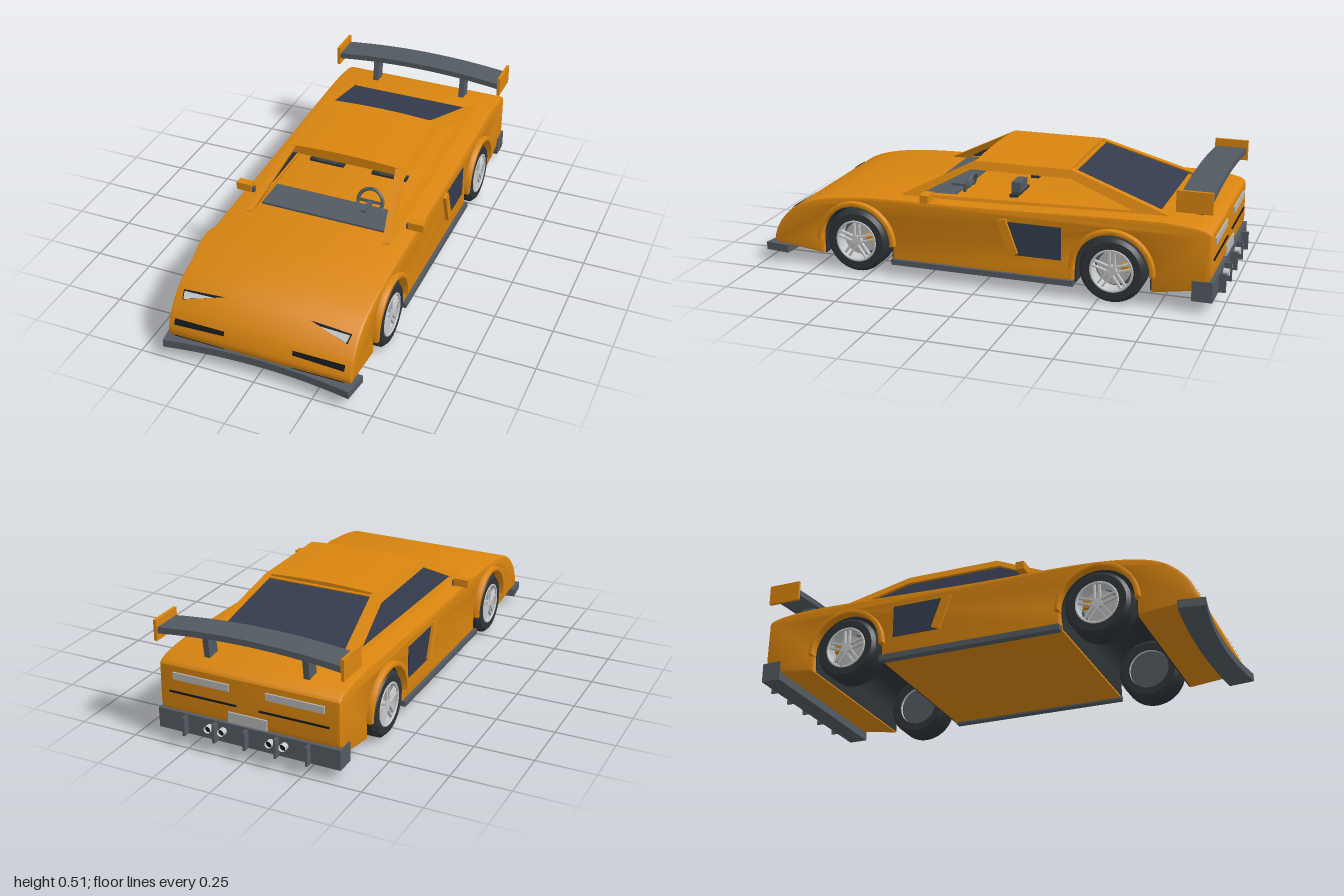
import * as THREE from 'three';
import { toCreasedNormals } from 'three/addons/utils/BufferGeometryUtils.js';

const mat = (name, color, side = THREE.FrontSide) => {
  const m = new THREE.MeshStandardMaterial({ color, side });
  m.name = name;
  return m;
};

export function createModel() {
  const car = new THREE.Group();
  car.name = 'sportsCar';
  const paint = mat('orangePaint', 0xd9850f);
  const trim = mat('greyTrim', 0x525a61);
  const rubber = mat('tyreRubber', 0x2f3437);
  const glass = mat('navyGlass', 0x333b4d, THREE.DoubleSide);
  const black = mat('blackVent', 0x15171a, THREE.DoubleSide);
  const silver = mat('silver', 0xc4c6c8, THREE.DoubleSide);
  const lamp = mat('lampGrey', 0xb4b4b4, THREE.DoubleSide);

  const add = (name, geo, m, parent = car) => {
    const mesh = new THREE.Mesh(geo, m);
    mesh.name = name;
    parent.add(mesh);
    return mesh;
  };
  const box = (name, size, pos, m, parent) => {
    const mesh = add(name, new THREE.BoxGeometry(...size), m, parent);
    mesh.position.set(...pos);
    return mesh;
  };
  const poly = (pts) => new THREE.Shape(pts.map((p) => new THREE.Vector2(...p)));
  // Extrudes a (z, y) side outline across x from x0 to x1
  const across = (shape, x0, x1, bevel = 0) => {
    const g = new THREE.ExtrudeGeometry(shape, {
      depth: x1 - x0 - 2 * bevel, curveSegments: 48, bevelEnabled: bevel > 0,
      bevelThickness: bevel, bevelSize: bevel, bevelOffset: -bevel, bevelSegments: 2,
    });
    g.rotateY(-Math.PI / 2).translate(x1 - bevel, 0, 0);
    return toCreasedNormals(g, 0.5);
  };
  const acrossSide = (shape, s, inner, outer, bevel) =>
    across(shape, s > 0 ? inner : -outer, s > 0 ? outer : -inner, bevel);

  // Main body: side outline with both wheel arches cut out
  const AXLE = 0.56, HUB = 0.135, ARCH = 0.16;
  const topLine = [[-0.957, 0.325], [-0.94, 0.34], [-0.88, 0.354], [-0.75, 0.363], [-0.5, 0.359],
    [0, 0.343], [0.38, 0.338], [0.57, 0.33], [0.73, 0.308], [0.84, 0.268], [0.92, 0.195],
    [0.957, 0.12], [0.95, 0.085]].map((p) => new THREE.Vector2(...p));
  const body = new THREE.Shape();
  body.moveTo(0.95, 0.085);
  for (const z of [AXLE, -AXLE]) {
    body.lineTo(z + ARCH, 0.06);
    body.lineTo(z + ARCH, HUB);
    body.absarc(z, HUB, ARCH, 0, Math.PI, false);
    body.lineTo(z - ARCH, 0.06);
  }
  body.lineTo(-0.935, 0.095);
  body.lineTo(-0.96, 0.15);
  body.lineTo(-0.957, 0.325);
  body.splineThru(topLine.slice(1));
  add('body', across(body, -0.395, 0.395, 0.012), paint);

  // Arch band, used for wheel well linings and flares
  const archShape = (z, ro, ri, y0) => {
    const a = new THREE.Shape();
    a.moveTo(z - ro, y0);
    a.absarc(z, HUB, ro, Math.PI, 0, true);
    a.lineTo(z + ro, y0);
    a.lineTo(z + ri, y0);
    a.absarc(z, HUB, ri, 0, Math.PI, false);
    a.lineTo(z - ri, y0);
    return a;
  };

  // Wheels with paired spokes
  const tyreProfile = [[0.09, -0.06], [0.122, -0.06], [0.137, -0.045], [0.137, 0.045],
    [0.122, 0.06], [0.09, 0.06], [0.09, -0.06]].map((p) => new THREE.Vector2(...p));
  const tyreGeo = toCreasedNormals(new THREE.LatheGeometry(tyreProfile, 40).rotateZ(-Math.PI / 2), 0.5);
  const disc = (r, w, open = false) =>
    new THREE.CylinderGeometry(r, r, w, 32, 1, open).rotateZ(-Math.PI / 2);
  for (const z of [AXLE, -AXLE]) {
    add('wheelWell', across(archShape(z, 0.1605, 0.154, 0.061), -0.38, 0.38), rubber);
    for (const s of [1, -1]) {
      add('archFlare', acrossSide(archShape(z, 0.178, 0.157, 0.13), s, 0.38, 0.42, 0.006), paint);
      const wheel = new THREE.Group();
      wheel.name = 'wheel';
      wheel.position.set(s * 0.35, HUB + 0.004, z);
      car.add(wheel);
      add('tyre', tyreGeo, rubber, wheel);
      add('rimBarrel', disc(0.0895, 0.11, true), silver, wheel);
      add('wheelBack', disc(0.089, 0.02), trim, wheel).position.x = -s * 0.03;
      add('brakeDisc', disc(0.07, 0.012), lamp, wheel).position.x = s * 0.012;
      box('brakeCaliper', [0.03, 0.035, 0.03], [s * 0.022, 0.012, -0.05], paint, wheel);
      const rim = add('rimRing', new THREE.TorusGeometry(0.087, 0.006, 8, 40).rotateY(Math.PI / 2), silver, wheel);
      rim.position.x = s * 0.057;
      add('hub', disc(0.02, 0.025), silver, wheel).position.x = s * 0.045;
      for (let i = 0; i < 5; i++) for (const off of [-0.011, 0.011]) {
        const g = new THREE.BoxGeometry(0.014, 0.076, 0.008).translate(s * 0.05, 0.05, off);
        add('spoke', g.rotateX((i * Math.PI * 2) / 5), silver, wheel);
      }
    }
  }

  // Cabin sides lean inwards: move vertices sideways by height
  const lean = (g, s) => {
    const p = g.attributes.position;
    for (let i = 0; i < p.count; i++) p.setX(i, p.getX(i) - s * (p.getY(i) - 0.34) * 0.4);
    g.computeVertexNormals();
    return g;
  };
  const windowPts = [[0.3, 0.35], [0.085, 0.466], [-0.345, 0.466], [-0.62, 0.371]];
  for (const s of [1, -1]) {
    const frame = poly([[0.38, 0.33], [0.38, 0.341], [0.07, 0.5], [-0.345, 0.5], [-0.76, 0.367], [-0.76, 0.35]]);
    frame.holes.push(new THREE.Path(windowPts.map((p) => new THREE.Vector2(...p))));
    add('cabinFrame', lean(acrossSide(frame, s, 0.293, 0.324), s), paint);
  }
  add('sideWindow', lean(acrossSide(poly(windowPts), -1, 0.303, 0.309), -1), glass);

  // Arched roof with front and rear headers
  const roof = new THREE.Shape();
  roof.moveTo(-0.258, 0.484);
  roof.lineTo(0.258, 0.484);
  roof.lineTo(0.258, 0.5);
  roof.quadraticCurveTo(0, 0.521, -0.258, 0.5);
  const roofGeo = new THREE.ExtrudeGeometry(roof, { depth: 0.415, bevelEnabled: false, curveSegments: 16 });
  add('roof', toCreasedNormals(roofGeo.translate(0, 0, -0.345), 0.5), paint);
  box('frontHeader', [0.49, 0.032, 0.015], [0, 0.482, 0.062], paint);
  box('rearHeader', [0.49, 0.016, 0.03], [0, 0.486, -0.345], paint);

  // Flat panel from its corners
  const panel = (pts) => {
    const g = new THREE.BufferGeometry().setFromPoints(pts.map((p) => new THREE.Vector3(...p)));
    const idx = [];
    for (let i = 1; i < pts.length - 1; i++) idx.push(0, i, i + 1);
    g.setIndex(idx);
    g.computeVertexNormals();
    return g;
  };
  add('rearWindow', panel([[0.24, 0.492, -0.35], [-0.24, 0.492, -0.35],
    [-0.29, 0.371, -0.725], [0.29, 0.371, -0.725]]), glass);

  // Interior
  box('dashboard', [0.56, 0.014, 0.15], [0, 0.341, 0.235], trim);
  const steering = add('steeringWheel', new THREE.TorusGeometry(0.055, 0.008, 8, 32), trim);
  steering.position.set(0.145, 0.354, 0.14);
  steering.rotation.x = -0.35;
  const spoke = box('steeringSpoke', [0.1, 0.012, 0.008], [0.145, 0.354, 0.14], trim);
  spoke.rotation.x = -0.35;
  box('steeringColumn', [0.02, 0.016, 0.08], [0.145, 0.35, 0.18], trim);
  for (const s of [1, -1]) {
    box('headrest', [0.088, 0.044, 0.04], [s * 0.147, 0.379, -0.085], trim);
    box('seatTop', [0.16, 0.02, 0.035], [s * 0.147, 0.347, -0.085], rubber);
  }

  // Nose details follow the body outline
  const nose = new THREE.SplineCurve(topLine).getPoints(48).filter((p) => p.x > 0.7);
  const noseZ = (y) => {
    const i = nose.findIndex((p) => p.y <= y), a = nose[i - 1], b = nose[i];
    return a.x + ((b.x - a.x) * (y - a.y)) / (b.y - a.y);
  };
  const nosePlate = (name, s, pts, lift, m) =>
    add(name, panel(pts.map(([x, y]) => [s * x, y, noseZ(y) + lift])), m);
  for (const s of [1, -1]) {
    nosePlate('headlightSurround', s, [[0.355, 0.229], [0.362, 0.256], [0.185, 0.262]], 0.005, black);
    nosePlate('headlight', s, [[0.35, 0.233], [0.356, 0.254], [0.225, 0.256]], 0.009, silver);
    nosePlate('frontVent', s, [[0.147, 0.15], [0.35, 0.15], [0.366, 0.143], [0.366, 0.167], [0.147, 0.167]], 0.005, black);
    nosePlate('lowerVent', s, [[0.147, 0.089], [0.36, 0.089], [0.372, 0.097], [0.147, 0.094]], 0.005, black);
  }

  // Front lip with a hollow curved leading edge
  const lip = new THREE.Shape();
  lip.moveTo(-0.4, -0.995);
  lip.quadraticCurveTo(0, -0.925, 0.4, -0.995);
  lip.lineTo(0.415, -0.885);
  lip.quadraticCurveTo(0, -0.84, -0.415, -0.885);
  const lipGeo = new THREE.ExtrudeGeometry(lip, { depth: 0.034, bevelEnabled: false, curveSegments: 24 });
  add('frontLip', toCreasedNormals(lipGeo.rotateX(-Math.PI / 2).translate(0, 0.05, 0), 0.5), trim);

  // Side skirts, scoops and mirrors
  for (const s of [1, -1]) {
    box('sideSkirt', [0.035, 0.024, 0.8], [s * 0.3925, 0.064, 0], trim);
    add('sideScoop', acrossSide(poly([[-0.1, 0.295], [-0.345, 0.295], [-0.345, 0.155], [-0.14, 0.155]]), s, 0.391, 0.398), glass);
    add('scoopFin', acrossSide(poly([[-0.075, 0.3], [-0.11, 0.31], [-0.163, 0.165], [-0.128, 0.15]]), s, 0.385, 0.41), paint);
    box('mirror', [0.066, 0.034, 0.036], [s * 0.392, 0.362, 0.24], paint);
    box('mirrorStalk', [0.014, 0.03, 0.016], [s * 0.354, 0.348, 0.24], trim);
  }

  // Rear wing, bowed upwards in the middle
  const wing = new THREE.Shape();
  wing.moveTo(-0.4, 0.446);
  wing.quadraticCurveTo(0, 0.496, 0.4, 0.446);
  wing.lineTo(0.4, 0.472);
  wing.quadraticCurveTo(0, 0.52, -0.4, 0.472);
  const wingGeo = new THREE.ExtrudeGeometry(wing, { depth: 0.13, bevelEnabled: false, curveSegments: 24 });
  add('rearWing', toCreasedNormals(wingGeo.translate(0, 0, -0.95), 0.5), trim);
  for (const s of [1, -1]) {
    box('wingEndPlate', [0.013, 0.088, 0.145], [s * 0.403, 0.461, -0.885], paint);
    add('wingStrut', acrossSide(poly([[-0.825, 0.345], [-0.885, 0.345], [-0.9, 0.47], [-0.845, 0.47]]), s, 0.205, 0.23), trim);
  }

  // Tail: lamps, number plate, diffuser, fins and exhausts
  for (const s of [1, -1]) {
    box('tailLamp', [0.25, 0.03, 0.009], [s * 0.205, 0.285, -0.96], lamp);
    box('tailVent', [0.3, 0.007, 0.008], [s * 0.2, 0.215, -0.96], black);
    for (const x of [0.105, 0.165]) {
      const pipe = add('exhaust', new THREE.CylinderGeometry(0.015, 0.015, 0.05, 16, 1, true).rotateX(Math.PI / 2), silver);
      pipe.position.set(s * x, 0.1, -0.97);
      const core = add('exhaustCore', new THREE.CircleGeometry(0.014, 16), black);
      core.position.set(s * x, 0.1, -0.985);
    }
  }
  box('numberPlate', [0.17, 0.045, 0.009], [0, 0.162, -0.962], lamp);
  box('diffuser', [0.8, 0.085, 0.085], [0, 0.0925, -0.9275], trim);
  for (let i = -2; i <= 2; i++) box('diffuserFin', [0.01, 0.08, 0.06], [i * 0.135, 0.091, -0.97], trim);

  return car;
}
